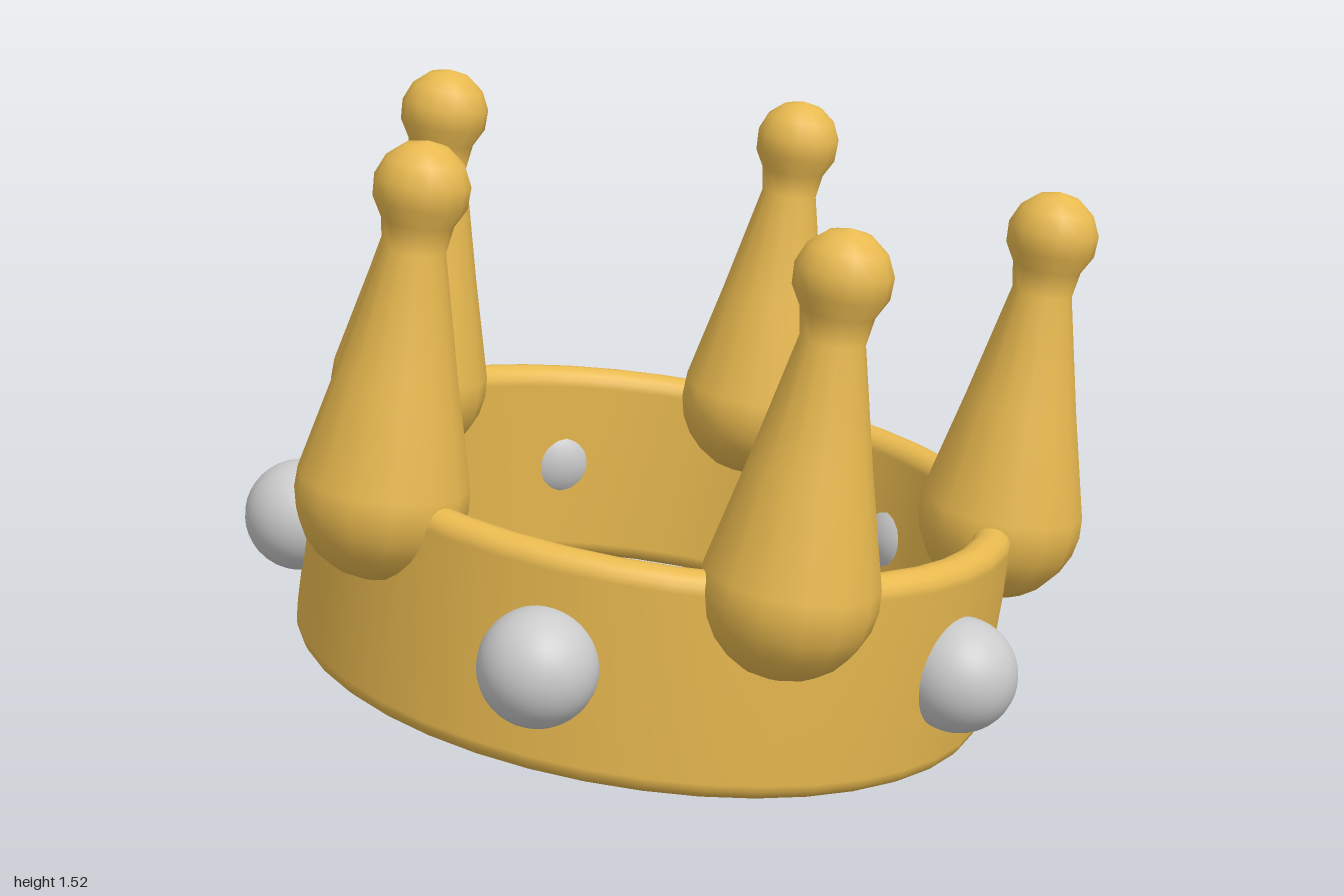
import * as THREE from 'three';

const gold = new THREE.MeshStandardMaterial({ color: 0xe8b94f });
const pearlGrey = new THREE.MeshStandardMaterial({ color: 0xcccccc });

// Closed rounded-rectangle section of the band, starting mid outer wall
function bandProfile(inner, outer, half, r) {
  const pts = [new THREE.Vector2(outer, 0)];
  const corners = [
    [outer - r, half - r, 0], [inner + r, half - r, 1],
    [inner + r, r - half, 2], [outer - r, r - half, 3],
  ];
  for (const [cx, cy, quarter] of corners) {
    for (let i = 0; i <= 4; i++) {
      const a = (quarter + i / 4) * Math.PI / 2;
      pts.push(new THREE.Vector2(cx + r * Math.cos(a), cy + r * Math.sin(a)));
    }
  }
  pts.push(new THREE.Vector2(outer, 0));
  return pts;
}

// Spike outline: round bulb, straight taper to a neck, small ball on top
function spikeProfile() {
  const pts = [];
  const arc = (y, r, from, to, n) => {
    for (let i = 0; i <= n; i++) {
      const a = THREE.MathUtils.degToRad(from + (to - from) * i / n);
      pts.push(new THREE.Vector2(Math.max(0, r * Math.cos(a)), y + r * Math.sin(a)));
    }
  };
  arc(0, 0.2, -90, 10, 7);
  pts.push(new THREE.Vector2(0.135, 0.29), new THREE.Vector2(0.072, 0.57));
  arc(0.705, 0.11, -42, 90, 5);
  return pts;
}

function addAround(parent, name, geometry, material, radius, height, startDeg) {
  for (let i = 0; i < 5; i++) {
    const a = THREE.MathUtils.degToRad(startDeg + i * 72);
    const mesh = new THREE.Mesh(geometry, material);
    mesh.name = name + (i + 1);
    mesh.position.set(radius * Math.cos(a), height, radius * Math.sin(a));
    mesh.rotation.y = -a;
    parent.add(mesh);
  }
}

export function createModel() {
  const root = new THREE.Group();
  root.name = 'crown';

  // The whole crown leans to one side
  const tilted = new THREE.Group();
  tilted.name = 'tiltedCrown';
  tilted.position.set(-0.005, 0.376, 0.012);
  tilted.quaternion.setFromUnitVectors(
    new THREE.Vector3(0, 1, 0), new THREE.Vector3(0.116, 1, -0.095).normalize());
  root.add(tilted);

  // Band
  const band = new THREE.Mesh(
    new THREE.LatheGeometry(bandProfile(0.755, 0.85, 0.26, 0.043), 40), gold);
  band.name = 'band';
  tilted.add(band);

  // Five spikes on the rim, five pearls set between them
  addAround(tilted, 'spike', new THREE.LatheGeometry(spikeProfile(), 14), gold, 0.82, 0.237, 36);
  addAround(tilted, 'pearl', new THREE.SphereGeometry(0.135, 32, 20), pearlGrey, 0.868, 0, 0);

  // Stand the lowest point on the ground
  root.updateMatrixWorld(true);
  tilted.position.y -= new THREE.Box3().setFromObject(root, true).min.y;
  return root;
}
